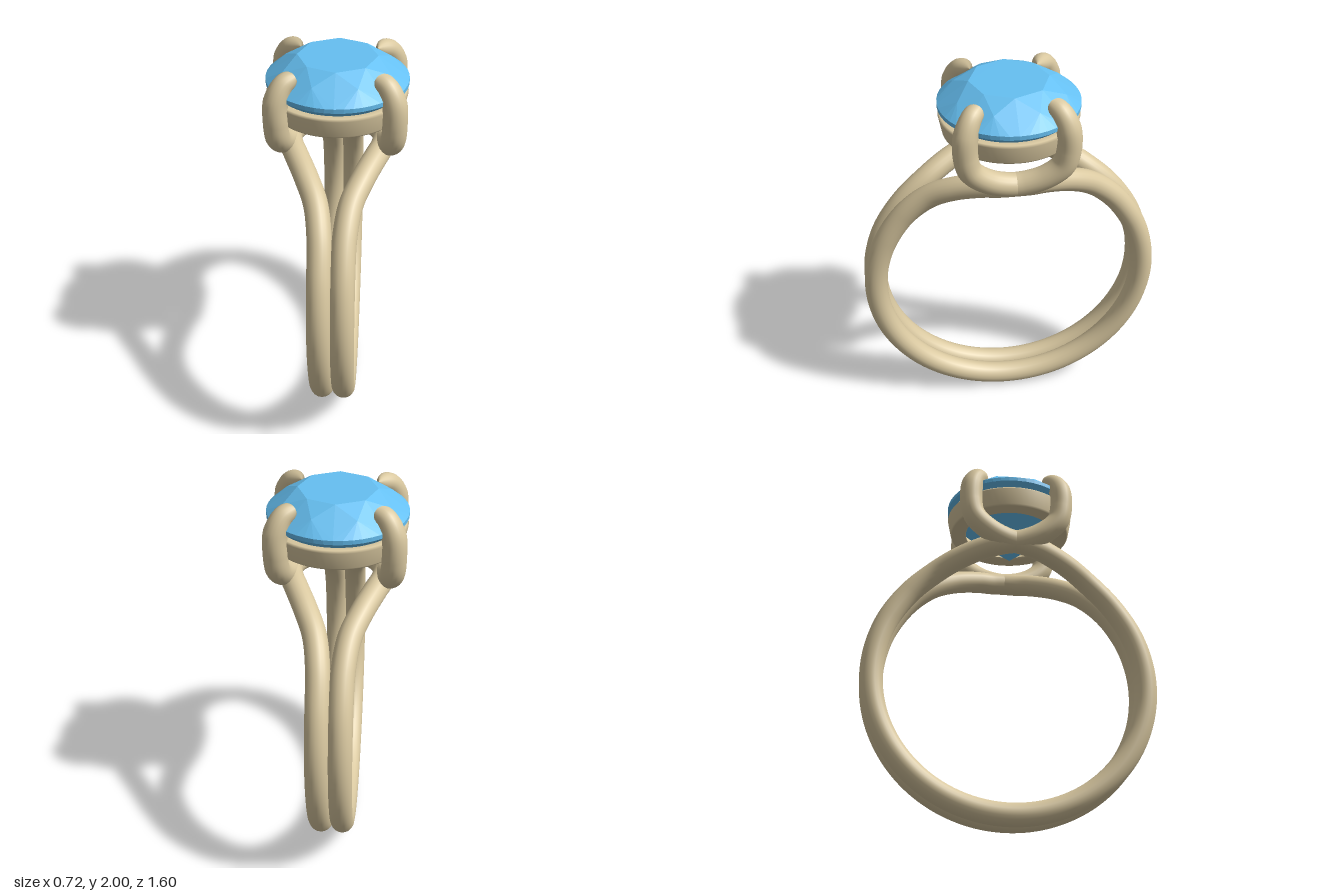
import * as THREE from 'three';
import { ConvexGeometry } from 'three/addons/geometries/ConvexGeometry.js';

const gold = new THREE.MeshStandardMaterial({ color: 0xd9c8a0 });
const blue = new THREE.MeshStandardMaterial({ color: 0x66c0f2, flatShading: true });

const RING_Y = 0.8, RING_R = 0.738, WIRE = 0.0615;

// Prong from its tip down to the crossing under the stone
const prong = [
  [0.195, 1.96, 0.172], [0.25, 1.937, 0.215], [0.284, 1.865, 0.246], [0.289, 1.75, 0.25],
  [0.285, 1.665, 0.228], [0.272, 1.595, 0.15], [0.253, 1.553, 0.05],
];
// Shoulder: [angle from the top of the band, x]
const shoulder = [[0.1, 0.232], [0.22, 0.2], [0.42, 0.14], [0.62, 0.086], [0.85, 0.062]];

// One wire: prong, crossing, shoulder, full loop, and back up to the other prong
function wirePath() {
  const onBand = (a, x) =>
    new THREE.Vector3(x, RING_Y + RING_R * Math.cos(a), RING_R * Math.sin(a));
  const pts = prong.map(([x, y, z]) => new THREE.Vector3(x, y, -z));
  shoulder.forEach(([a, x]) => pts.push(onBand(a, x)));
  for (let i = 0; i <= 20; i++) {
    pts.push(onBand(1.1 + (i / 20) * (2 * Math.PI - 2.2), 0.058));
  }
  [...shoulder].reverse().forEach(([a, x]) => pts.push(onBand(-a, x)));
  [...prong].reverse().forEach(([x, y, z]) => pts.push(new THREE.Vector3(x, y, z)));
  return new THREE.CatmullRomCurve3(pts, false, 'centripetal');
}

// Tube whose ends taper and close in a rounded tip
function wireGeometry() {
  const curve = wirePath(), steps = 600, sides = 20;
  curve.arcLengthDivisions = 1500;
  const length = curve.getLength();
  const geo = new THREE.TubeGeometry(curve, steps, WIRE, sides, false);
  const pos = geo.attributes.position;
  const v = new THREE.Vector3();
  for (let i = 0; i <= steps; i++) {
    const centre = curve.getPointAt(i / steps);
    const d = (Math.min(i, steps - i) / steps) * length;
    const taper = 0.72 + 0.28 * Math.min(1, d / 0.16);
    const k = Math.min(1, d / 0.045);
    const scale = taper * Math.sqrt(1 - (1 - k) ** 2);
    for (let j = 0; j <= sides; j++) {
      const n = i * (sides + 1) + j;
      v.fromBufferAttribute(pos, n).sub(centre).multiplyScalar(scale).add(centre);
      pos.setXYZ(n, v.x, v.y, v.z);
    }
  }
  return geo;
}

// Circle of points for the stone
function circle(n, r, y, turn = 0) {
  return Array.from({ length: n }, (_, i) => {
    const a = ((i + turn) / n) * Math.PI * 2;
    return new THREE.Vector3(r * Math.sin(a), y, r * Math.cos(a));
  });
}

function add(parent, name, geometry, material) {
  const mesh = new THREE.Mesh(geometry, material);
  mesh.name = name;
  parent.add(mesh);
  return mesh;
}

export function createModel() {
  const ring = new THREE.Group();
  ring.name = 'ring';

  // Two wires side by side, the second turned half round
  const wire = wireGeometry();
  add(ring, 'leftBandWire', wire, gold);
  add(ring, 'rightBandWire', wire, gold).rotation.y = Math.PI;

  // Collar under the stone, small bevels on each edge
  const profile = [
    [0.25, 1.73], [0.258, 1.72], [0.33, 1.72], [0.338, 1.73], [0.355, 1.818],
    [0.347, 1.83], [0.31, 1.83], [0.3, 1.82], [0.25, 1.73],
  ];
  const corners = profile.map(([r, y]) => new THREE.Vector2(r, y));
  add(ring, 'collar', new THREE.LatheGeometry(corners, 64), gold);

  // Faceted stone: table, crown, girdle, pavilion and point
  const stone = [
    ...circle(8, 0.2, 2.0),
    ...circle(8, 0.287, 1.95, 0.5),
    ...circle(48, 0.358, 1.888),
    ...circle(48, 0.358, 1.866),
    ...circle(8, 0.19, 1.722, 0.5),
    new THREE.Vector3(0, 1.563, 0),
  ];
  add(ring, 'gemstone', new ConvexGeometry(stone), blue);

  return ring;
}
